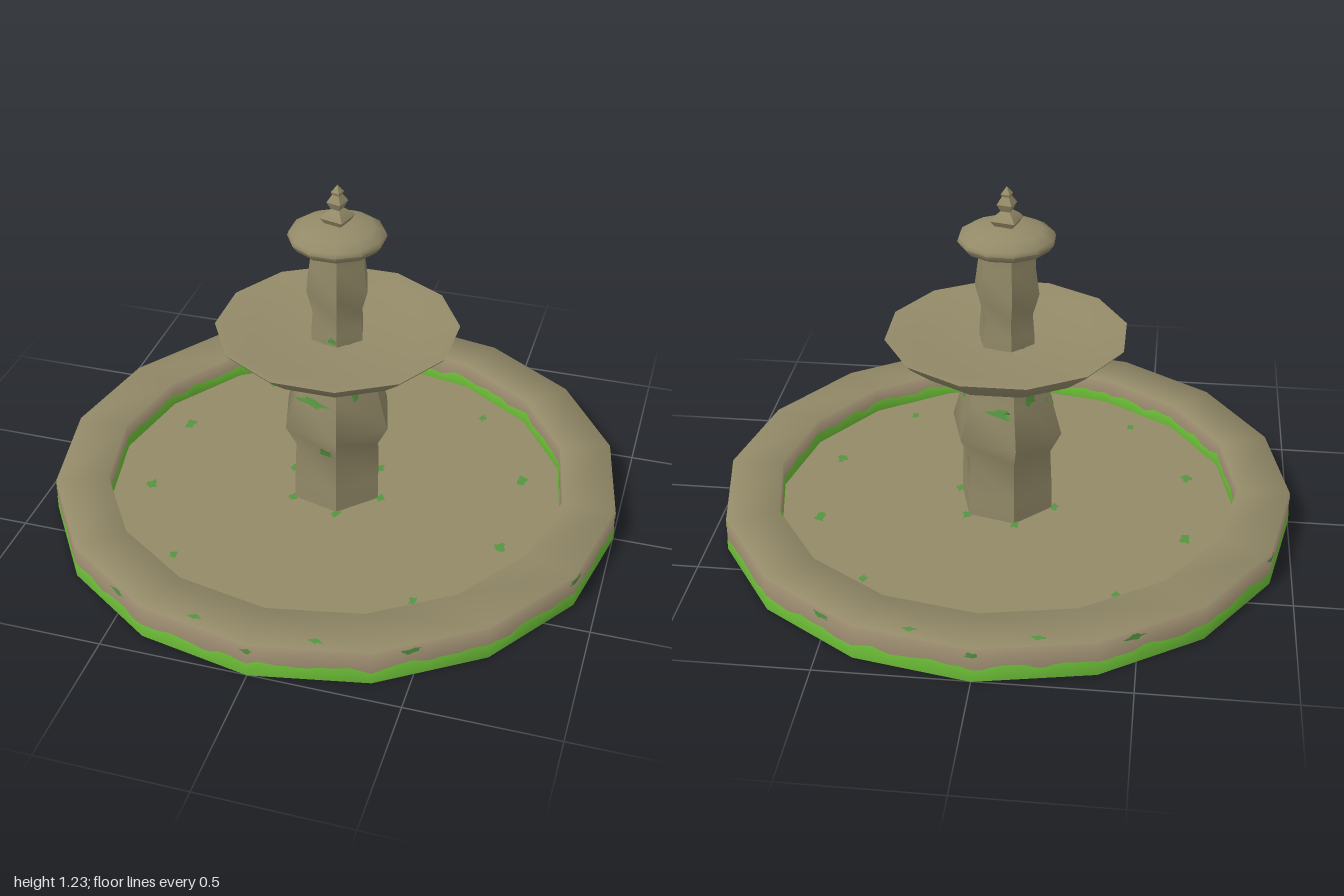
import * as THREE from 'three';
import { toCreasedNormals } from 'three/addons/utils/BufferGeometryUtils.js';

const DEG = Math.PI / 180;
const mat = (name, color) =>
  Object.assign(new THREE.MeshStandardMaterial({ color, side: THREE.DoubleSide }), { name });

// Turned part: profile [radius, y], number of sides, angle of the first corner
const turned = (profile, sides, start) => new THREE.LatheGeometry(
  profile.map(p => new THREE.Vector2(...p)), sides, start * DEG, Math.PI * 2);

// Point on the faceted surface of a turned part; angle is measured from +z towards +x
function onSurface(part, angle, y, lift) {
  const { profile, sides, start } = part;
  let r = profile[0][0];
  for (let i = 1; i < profile.length; i++) {
    const [r0, y0] = profile[i - 1], [r1, y1] = profile[i];
    if (y >= y0 && y <= y1 && y1 > y0) { r = r0 + (r1 - r0) * (y - y0) / (y1 - y0); break; }
  }
  const step = 360 / sides;
  const local = ((angle - start) % step + step) % step - step / 2;
  r = r * Math.cos(step / 2 * DEG) / Math.cos(local * DEG) + lift;
  return [r * Math.sin(angle * DEG), y, r * Math.cos(angle * DEG)];
}

// Ragged blob: a fan of points placed by a mapping (u, v) -> xyz
function blob(map, seed) {
  const n = 10, pos = [...map(0, 0)], index = [];
  for (let i = 0; i < n; i++) {
    const a = i / n * Math.PI * 2, k = 0.75 + 0.25 * Math.sin(i * 2.3 + seed * 1.7);
    pos.push(...map(Math.cos(a) * k, Math.sin(a) * k));
    index.push(0, i + 1, (i + 1) % n + 1);
  }
  const g = new THREE.BufferGeometry();
  g.setAttribute('position', new THREE.Float32BufferAttribute(pos, 3));
  g.setIndex(index);
  g.computeVertexNormals();
  return g;
}

// Moss band around a 16-sided wall with a ragged upper edge
function mossBand(radius, y0, y1, side) {
  const part = { profile: [[radius, 0], [radius, 1]], sides: 16, start: 0 };
  const n = 192, pos = [], nor = [], index = [];
  for (let i = 0; i <= n; i++) {
    const a = i / n * 360;
    const top = y1 + 0.006 * Math.sin(i * 0.9) + 0.006 * Math.sin(i * 0.37 + 1) * Math.sin(i * 1.7);
    pos.push(...onSurface(part, a, y0, 0), ...onSurface(part, a, top, 0));
    for (let k = 0; k < 2; k++) nor.push(side * Math.sin(a * DEG), k * 0.3, side * Math.cos(a * DEG));
    if (i < n) {
      const b = i * 2;
      if (side > 0) index.push(b, b + 2, b + 3, b, b + 3, b + 1);
      else index.push(b, b + 3, b + 2, b, b + 1, b + 3);
    }
  }
  const g = new THREE.BufferGeometry();
  g.setAttribute('position', new THREE.Float32BufferAttribute(pos, 3));
  g.setAttribute('normal', new THREE.Float32BufferAttribute(nor, 3));
  g.setIndex(index);
  return g;
}

export function createModel() {
  const group = new THREE.Group();
  group.name = 'fountain';
  const stone = mat('stone', 0x938a68), wallStone = mat('wall stone', 0x938469);
  const moss = mat('bright moss', 0x69b835), darkMoss = mat('dark moss', 0x559440);
  const add = (name, geometry, material) => {
    const m = new THREE.Mesh(geometry, material);
    m.name = name;
    group.add(m);
    return m;
  };

  // Basin rim: hollow shell, open underneath, with a warmer wall colour
  const basin = { profile: [[1, 0], [1, 0.12], [0.815, 0.12], [0.815, 0.025]], sides: 16, start: 0 };
  const rim = turned(basin.profile, 16, 0);
  for (let i = 0; i < 16; i++)
    for (let j = 0; j < 3; j++) rim.addGroup((i * 3 + j) * 6, 6, j === 1 ? 0 : 1);
  add('basinRim', rim, [stone, wallStone]);

  // Basin floor
  const floorY = 0.03;
  const floor = add('basinFloor', new THREE.CircleGeometry(0.815, 16), stone);
  floor.rotation.x = -Math.PI / 2;
  floor.position.y = floorY;

  // Moss along both faces of the outer and inner walls
  add('outerWallMoss', mossBand(1.002, 0, 0.05, 1), moss);
  add('outerWallMossInside', mossBand(0.997, 0, 0.05, -1), moss);
  add('innerWallMoss', mossBand(0.812, floorY, 0.07, -1), moss);
  add('innerWallMossBehind', mossBand(0.818, 0.025, 0.07, 1), moss);

  // Hexagonal columns with a swollen middle
  const lower = {
    profile: [[0.17, 0.03], [0.17, 0.12], [0.163, 0.26], [0.203, 0.34], [0.16, 0.49], [0.153, 0.57]],
    sides: 6, start: 15 };
  const upper = {
    profile: [[0.1, 0.66], [0.1, 0.71], [0.094, 0.78], [0.117, 0.86], [0.103, 0.96], [0.103, 1.03]],
    sides: 6, start: 15 };
  for (const [name, c] of [['lowerColumn', lower], ['upperColumn', upper]])
    add(name, toCreasedNormals(turned(c.profile, c.sides, c.start), 45 * DEG), stone);

  // Mossy foot of the column below the floor
  add('columnFoot', toCreasedNormals(turned([[0.17, 0.012], [0.17, 0.03]], 6, 15), 0.5), moss);
  const socket = add('columnSocket', new THREE.CircleGeometry(0.168, 6, 15 * DEG), darkMoss);
  socket.rotation.x = Math.PI / 2;
  socket.position.y = 0.026;

  // Shallow bowl, domed cap and square finial
  add('bowl', toCreasedNormals(turned([[0.14, 0.56], [0.17, 0.565], [0.325, 0.62], [0.405, 0.685],
    [0.418, 0.7], [0.395, 0.7], [0.3, 0.68], [0.09, 0.67]], 12, 15), 60 * DEG), stone);
  add('cap', toCreasedNormals(turned([[0.09, 1.022], [0.15, 1.022], [0.166, 1.045], [0.16, 1.06],
    [0.125, 1.08], [0.06, 1.095], [0, 1.097]], 12, 15), 60 * DEG), stone);
  add('finial', toCreasedNormals(turned([[0.04, 1.09], [0.06, 1.115], [0.045, 1.13], [0.022, 1.145],
    [0.037, 1.17], [0.018, 1.195], [0.022, 1.205], [0, 1.23]], 4, 30), 30 * DEG), stone);

  // Moss patches on upright surfaces: [part, angle, y, half angle, half height]
  const patches = [
    [lower, 0, 0.27, 11, 0.025], [lower, -20, 0.462, 28, 0.018], [lower, 42, 0.51, 12, 0.045],
    [lower, 100, 0.47, 18, 0.025], [lower, 72, 0.52, 12, 0.04], [lower, 180, 0.46, 25, 0.02],
    [lower, 262, 0.47, 20, 0.025], [lower, 220, 0.51, 12, 0.045], [upper, 5, 0.69, 12, 0.015]];
  for (const a of [0, 30, 68, 90, 112, 150, 180, 210, 248, 270, 292, 330])
    patches.push([basin, a, 0.1, a % 90 ? 2.6 : 1.4, 0.014]);
  patches.forEach(([part, a, y, da, dy], i) => add('wallMossPatch',
    blob((u, v) => onSurface(part, a + u * da, y + v * dy, 0.003), i), darkMoss));

  // Moss patches lying on the floor: [x, z, size]
  const spots = [];
  for (const s of [-1, 1])
    for (const t of [-1, 1]) spots.push([s * 0.64, t * 0.2, 0.035], [s * 0.42, t * 0.55, 0.025]);
  for (let i = 0; i < 6; i++) {
    const a = (15 + i * 60) * DEG;
    spots.push([0.18 * Math.sin(a), 0.18 * Math.cos(a), 0.028]);
  }
  spots.forEach(([x, z, s], i) => add('floorMossPatch',
    blob((u, v) => [x + v * s * 0.7, floorY + 0.003, z + u * s], i), darkMoss));

  // Small moss flecks on top of the rim
  for (const x of [-0.2, 0.2])
    for (const z of [-0.92, 0.92])
      add('rimMossPatch', blob((u, v) => [x + v * 0.028, 0.123, z + u * 0.015], x * 9), darkMoss);

  return group;
}
